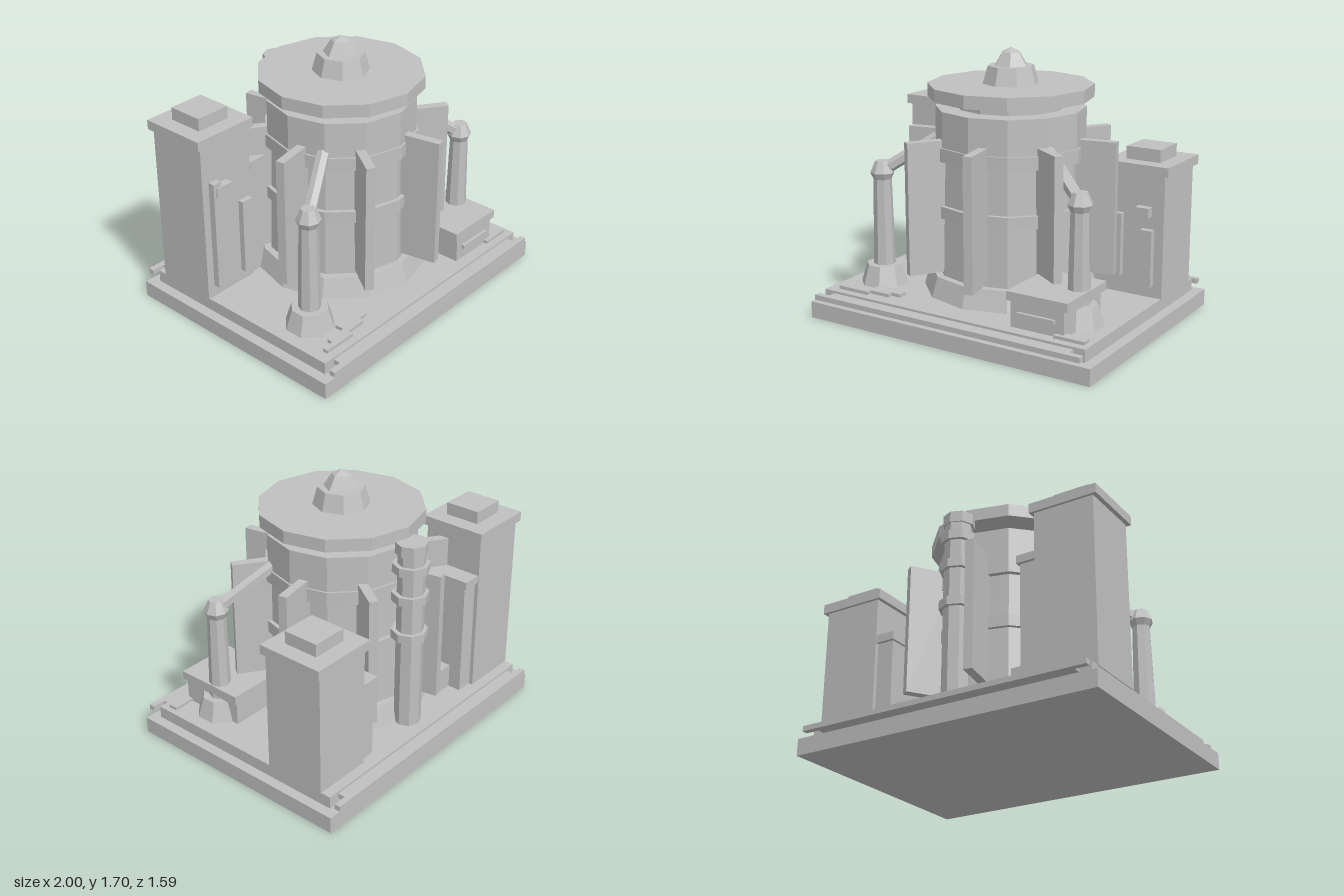
import * as THREE from 'three';

export function createModel() {
  const model = new THREE.Group();
  model.name = 'industrialReactor';
  const grey = new THREE.MeshStandardMaterial({ color: 0xc0c0c0, flatShading: true });
  grey.name = 'plainGrey';

  const add = (name, geometry, parent = model) => {
    const mesh = new THREE.Mesh(geometry, grey);
    mesh.name = name;
    parent.add(mesh);
    return mesh;
  };
  // Box given by its limits on each axis
  const box = (name, x0, x1, y0, y1, z0, z1, parent) => {
    const mesh = add(name, new THREE.BoxGeometry(x1 - x0, y1 - y0, z1 - z0), parent);
    mesh.position.set((x0 + x1) / 2, (y0 + y1) / 2, (z0 + z1) / 2);
    return mesh;
  };
  // Faceted prism or frustum standing between two heights
  const prism = (name, r0, r1, y0, y1, sides, x = 0, z = 0, turn = 0, parent) => {
    const mesh = add(name, new THREE.CylinderGeometry(r1, r0, y1 - y0, sides), parent);
    mesh.position.set(x, (y0 + y1) / 2, z);
    mesh.rotation.y = turn;
    return mesh;
  };

  // Stepped base
  box('baseSlab', -1, 1, 0, 0.105, -0.772, 0.772);
  box('basePlatform', -0.935, 0.935, 0.105, 0.183, -0.71, 0.71);
  for (const s of [-1, 1]) {
    const strip = (name, w, a, b) =>
      box(name, -w, w, 0.135, 0.168, Math.min(s * a, s * b), Math.max(s * a, s * b));
    strip('innerEdgeStrip', 0.86, 0.7, 0.76);
    strip('outerEdgeStrip', 0.948, 0.757, 0.795);
  }

  // Central drum
  prism('drumSkirt', 0.55, 0.51, 0.18, 0.31, 12);
  prism('drumBody', 0.465, 0.445, 0.3, 1.06, 12);
  prism('lowerBand', 0.48, 0.48, 0.68, 0.757, 12);
  prism('upperBand', 0.48, 0.48, 1.035, 1.12, 12);
  prism('drumTop', 0.468, 0.466, 1.1, 1.34, 12);
  prism('drumNeck', 0.34, 0.34, 1.34, 1.4, 12);
  prism('roofDisc', 0.513, 0.513, 1.4, 1.48, 12);

  // Roof finial
  prism('finialBase', 0.176, 0.145, 1.48, 1.59, 8);
  prism('finialCap', 0.11, 0.06, 1.59, 1.67, 6, 0, 0, Math.PI / 6);
  prism('finialTip', 0.06, 0.001, 1.67, 1.7, 6, 0, 0, Math.PI / 6);

  // Eight radial fins
  for (let i = 0; i < 8; i++) {
    const fin = new THREE.Group();
    fin.name = 'fin';
    fin.rotation.y = THREE.MathUtils.degToRad(11 + 45 * i);
    box('finPlate', -0.028, 0.028, 0.335, 1.165, 0.4, 0.685, fin);
    model.add(fin);
  }

  // Two front pylons with arms sloping up to the drum
  for (const s of [-1, 1]) {
    const x = s * 0.71, z = 0.385;
    prism('pylonFoot', 0.155, 0.115, 0.18, 0.31, 8, x, z, Math.PI / 8);
    prism('pylonColumn', 0.07, 0.057, 0.3, 0.9, 8, x, z);
    prism('pylonCollar', 0.056, 0.077, 0.86, 0.905, 8, x, z);
    prism('pylonCap', 0.077, 0.045, 0.905, 0.978, 8, x, z);
    const from = new THREE.Vector3(x * 0.98, 0.925, 0.378);
    const to = new THREE.Vector3(s * 0.39, 1.14, 0.21);
    const dir = to.clone().sub(from);
    const arm = add('pylonArm', new THREE.CylinderGeometry(0.04, 0.04, dir.length(), 6));
    arm.position.copy(from).lerp(to, 0.5);
    arm.quaternion.setFromUnitVectors(new THREE.Vector3(0, 1, 0), dir.normalize());
  }

  // Two rear towers with caps, chimneys and side annexes
  for (const [s, top, annexTop] of [[-1, 1.22, 0.98], [1, 0.96, 0.72]]) {
    const tower = new THREE.Group();
    tower.name = s < 0 ? 'tallTower' : 'shortTower';
    const sideBox = (name, a, b, ...rest) =>
      box(name, Math.min(s * a, s * b), Math.max(s * a, s * b), ...rest, tower);
    sideBox('towerBody', 0.555, 0.94, 0.18, top, -0.645, -0.243);
    sideBox('towerCap', 0.53, 0.967, top, top + 0.06, -0.663, -0.227);
    sideBox('towerChimney', 0.636, 0.866, top + 0.06, top + 0.14, -0.556, -0.326);
    sideBox('annexBody', 0.445, 0.56, 0.18, annexTop - 0.05, -0.62, -0.26);
    sideBox('annexCap', 0.43, 0.56, annexTop - 0.05, annexTop, -0.64, -0.24);
    model.add(tower);
  }
  box('lowRearBox', -0.445, -0.33, 0.18, 0.34, -0.535, -0.29);

  // Panels on the tower fronts
  box('tallTowerPanel', -0.89, -0.83, 0.26, 0.98, -0.25, -0.2);
  box('tallTowerBracket', -0.87, -0.75, 0.89, 0.95, -0.25, -0.19);
  box('tallTowerLowerPanel', -0.66, -0.58, 0.26, 0.76, -0.25, -0.205);
  box('shortTowerPanel', 0.8, 0.88, 0.26, 0.62, -0.25, -0.2);
  box('shortTowerBracket', 0.77, 0.86, 0.7, 0.762, -0.25, -0.19);
  box('shortTowerLowerPanel', 0.6, 0.67, 0.3, 0.7, -0.25, -0.205);

  // Rear pipe with flanges
  prism('rearPipe', 0.085, 0.085, 0.18, 1.35, 8, 0.027, -0.56);
  prism('rearPipeCap', 0.098, 0.098, 1.34, 1.41, 8, 0.027, -0.555);
  for (const y of [0.78, 1.03, 1.22])
    prism('rearPipeFlange', 0.113, 0.113, y, y + 0.055, 8, 0.027, -0.555);

  // Front control cabinet
  box('cabinetBody', 0.4, 0.755, 0.18, 0.345, 0.2, 0.635);
  box('cabinetCap', 0.375, 0.782, 0.345, 0.4, 0.182, 0.645);
  box('cabinetVent', 0.45, 0.7, 0.26, 0.285, 0.63, 0.655);

  // Low plates on the platform
  box('floorPlate', -0.645, -0.435, 0.18, 0.205, 0.53, 0.59);
  box('floorPlate', -0.78, -0.5, 0.18, 0.205, 0.59, 0.625);
  box('floorPlate', -0.86, -0.635, 0.18, 0.205, 0.625, 0.66);
  box('floorPlate', 0.7, 0.9, 0.18, 0.203, 0.6, 0.66);

  return model;
}
